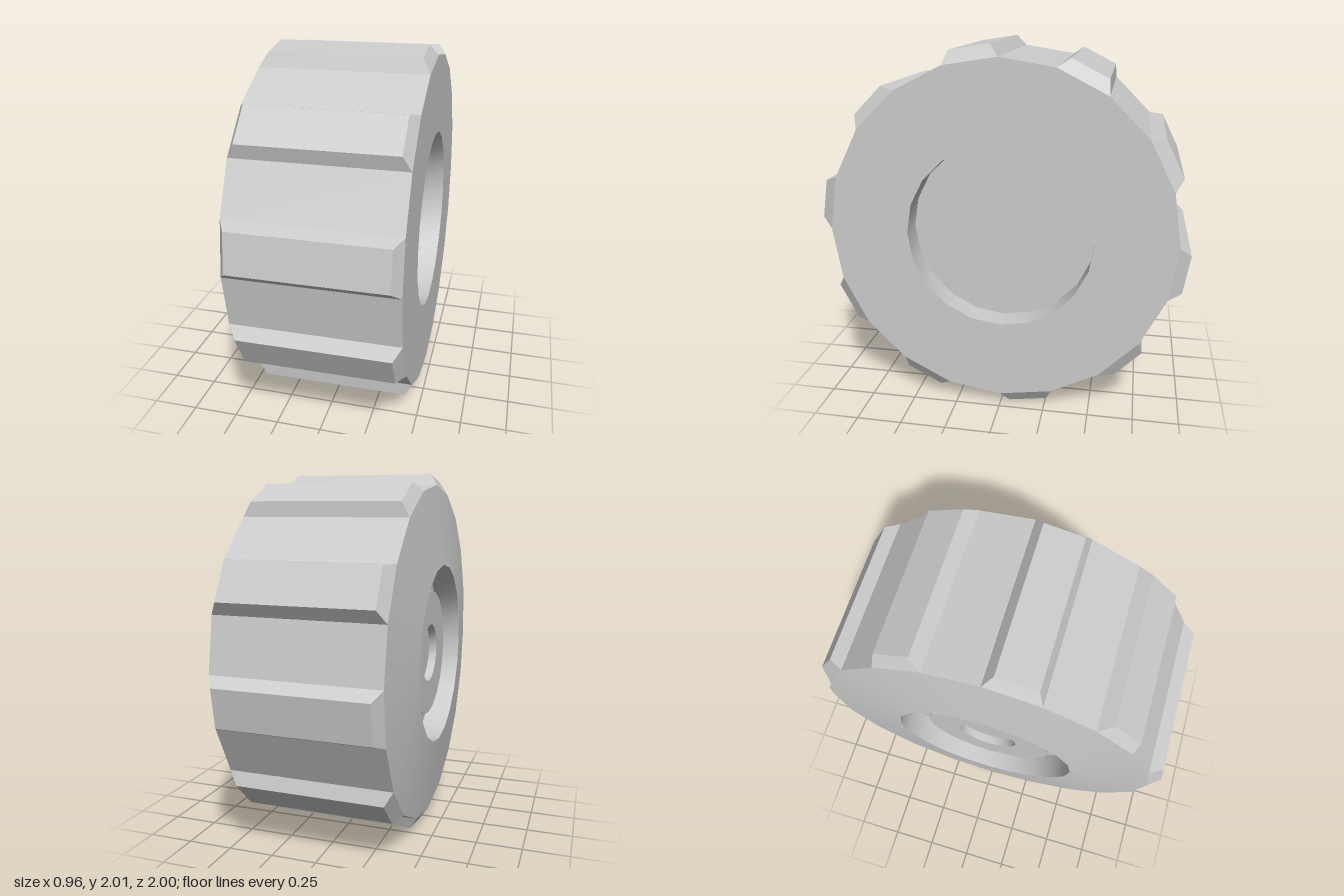
import * as THREE from 'three';
import { toCreasedNormals } from 'three/addons/utils/BufferGeometryUtils.js';

const SIDES = 20;
const R = 0.94;
const STEP = (Math.PI * 2) / SIDES;

// Revolves [radius, x] points around the x axis; list them from -x to +x on outer walls
function revolve(points) {
  const profile = points.map(([r, x]) => new THREE.Vector2(r, x));
  return new THREE.LatheGeometry(profile, SIDES).rotateZ(-Math.PI / 2);
}

// Cleat spanning one tread facet, tapered on all four flanks
function cleatGeometry() {
  const geo = new THREE.BoxGeometry(1, 1, 1);
  const p = geo.attributes.position;
  for (let i = 0; i < p.count; i++) {
    const top = p.getY(i) > 0;
    const inset = top ? 0.05 : 0;
    const r = top ? 1.002 : R;
    const a = p.getZ(i) > 0 ? STEP - inset : inset;
    const x = p.getX(i) > 0 ? 0.47 - inset * 0.85 : -0.425 + inset * 0.85;
    p.setXYZ(i, x, r * Math.cos(a), r * Math.sin(a));
  }
  return geo;
}

export function createModel() {
  const model = new THREE.Group();
  model.name = 'wheel';
  const smooth = new THREE.MeshStandardMaterial({ color: 0xcccccc });
  const faceted = new THREE.MeshStandardMaterial({ color: 0xcccccc, flatShading: true });

  const wheel = new THREE.Group();
  wheel.name = 'wheelBody';
  wheel.position.y = 1;
  wheel.rotation.z = 0.0065; // slight lean
  model.add(wheel);

  const add = (name, geometry, material) => {
    const mesh = new THREE.Mesh(geometry, material);
    mesh.name = name;
    wheel.add(mesh);
    return mesh;
  };

  // Faceted running surface
  add('tread', revolve([[R, -0.425], [R, 0.47]]), faceted);

  // Bulging side with a recess, raised hub and axle hole
  const hubSide = revolve([
    [0, -0.365], [0.165, -0.365], [0.165, -0.41], [0.355, -0.41],
    [0.355, -0.335], [0.505, -0.335], [0.505, -0.478], [R, -0.425],
  ]);
  add('hubSidewall', toCreasedNormals(hubSide, 0.6), smooth);

  // Flat side with a plain recess
  const flatSide = revolve([[R, 0.47], [0.505, 0.47], [0.505, 0.33], [0, 0.33]]);
  add('flatSidewall', toCreasedNormals(flatSide, 0.6), smooth);

  // Cleats on every other facet
  const cleat = cleatGeometry();
  for (let i = 0; i < SIDES / 2; i++) {
    add('cleat' + (i + 1), cleat, faceted).rotation.x = i * 2 * STEP;
  }
  return model;
}
